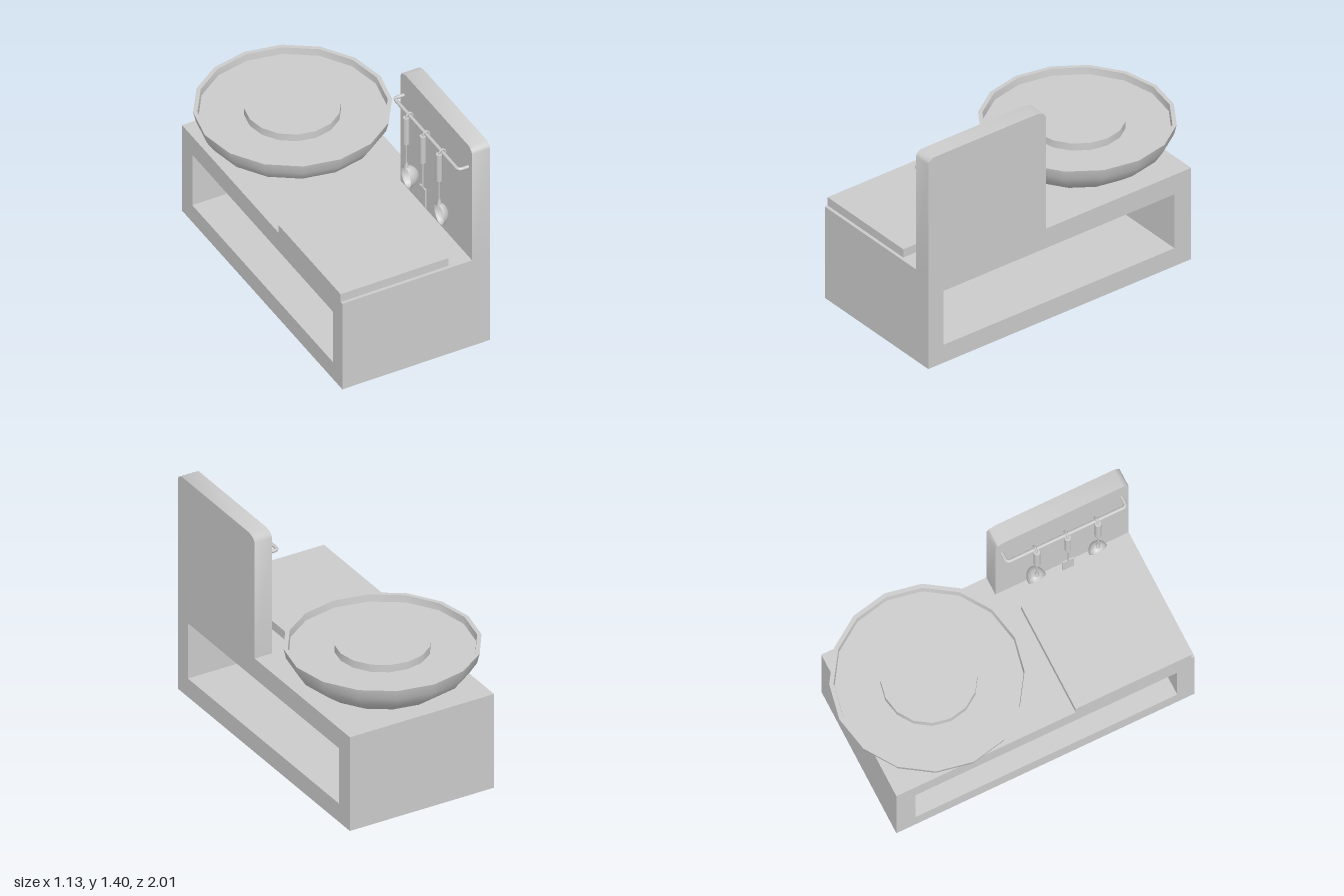
import * as THREE from 'three';
import { toCreasedNormals } from 'three/addons/utils/BufferGeometryUtils.js';

const grey = new THREE.MeshStandardMaterial({ color: 0xcccccc });
const thin = new THREE.MeshStandardMaterial({ color: 0xcccccc, side: THREE.DoubleSide });

export function createModel() {
  const model = new THREE.Group();
  model.name = 'kitchenCounter';

  function add(name, geometry, x = 0, y = 0, z = 0, parent = model, material = grey) {
    const mesh = new THREE.Mesh(geometry, material);
    mesh.name = name;
    mesh.position.set(x, y, z);
    parent.add(mesh);
    return mesh;
  }
  const outline = (pts) => pts.map(([a, b]) => new THREE.Vector2(a, b));

  // Extrude a (z, y) side profile across x, from x0 to x1
  function sideExtrude(shape, x0, x1) {
    const g = new THREE.ExtrudeGeometry(shape, { depth: x1 - x0, bevelEnabled: false });
    return g.rotateY(-Math.PI / 2).translate(x1, 0, 0);
  }

  // Counter block with an open shelf right through it
  const block = new THREE.Shape(outline([[-0.88, 0], [1, 0], [1, 0.61], [-0.88, 0.61]]));
  block.holes.push(new THREE.Path(outline([[-0.76, 0.12], [-0.76, 0.48], [0.89, 0.48], [0.89, 0.12]])));
  add('counter', sideExtrude(block, -0.47, 0.48));

  // Upright panel with softened top corners
  const panel = new THREE.Shape(outline([
    [0.16, 0.61], [1, 0.61], [1, 1.365], [0.992, 1.383], [0.965, 1.4],
    [0.22, 1.4], [0.175, 1.385], [0.16, 1.36],
  ]));
  add('backPanel', toCreasedNormals(sideExtrude(panel, 0.365, 0.48), 0.6));

  // Cutting board
  add('board', new THREE.BoxGeometry(0.695, 0.055, 0.73), -0.1225, 0.6375, 0.615);

  // Sixteen-sided basin with a recessed floor, and a raised disc in the middle
  const basin = new THREE.LatheGeometry(outline([
    [0, 0.61], [0.285, 0.61], [0.4, 0.66], [0.505, 0.74], [0.55, 0.81],
    [0.565, 0.873], [0.54, 0.873], [0.535, 0.83], [0, 0.83],
  ]), 16);
  add('basin', toCreasedNormals(basin, 0.5), 0, 0, -0.44);
  add('basinDisc', toCreasedNormals(new THREE.CylinderGeometry(0.275, 0.275, 0.047, 16), 0.5), 0, 0.8535, -0.44);

  // Rail bent back into the panel at both ends
  const railX = 0.302, railY = 1.247, r = 0.025;
  const v = (x, z) => new THREE.Vector3(x, railY, z);
  const path = new THREE.CurvePath();
  path.add(new THREE.LineCurve3(v(0.37, 0.2), v(railX + r, 0.2)));
  path.add(new THREE.QuadraticBezierCurve3(v(railX + r, 0.2), v(railX, 0.2), v(railX, 0.2 + r)));
  path.add(new THREE.LineCurve3(v(railX, 0.2 + r), v(railX, 0.955 - r)));
  path.add(new THREE.QuadraticBezierCurve3(v(railX, 0.955 - r), v(railX, 0.955), v(railX + r, 0.955)));
  path.add(new THREE.LineCurve3(v(railX + r, 0.955), v(0.37, 0.955)));
  add('rail', new THREE.TubeGeometry(path, 90, 0.011, 8));

  // Hanging utensils: hook, handle and stem, then a head of each kind
  function utensil(name, z) {
    const g = new THREE.Group();
    g.name = name;
    g.position.set(0.281, 0, z);
    model.add(g);
    const hook = new THREE.CatmullRomCurve3([
      [0, 1.22], [0.003, 1.25], [0.02, 1.265], [0.037, 1.255], [0.042, 1.238],
    ].map(([x, y]) => new THREE.Vector3(x, y, 0)));
    add('hook', new THREE.TubeGeometry(hook, 12, 0.007, 6), 0, 0, 0, g);
    add('handle', new THREE.CylinderGeometry(0.019, 0.019, 0.185, 10), 0, 1.1475, 0, g);
    add('stem', new THREE.CylinderGeometry(0.005, 0.006, 0.2, 6), 0, 0.965, 0, g);
    return g;
  }

  // Round heads open away from the panel
  for (const [name, z, depth] of [['ladle', 0.38, 0.075], ['spoon', 0.765, 0.053]]) {
    const head = new THREE.SphereGeometry(1, 14, 6, 0, Math.PI * 2, 0, Math.PI / 2);
    head.rotateZ(-Math.PI / 2).scale(depth, 0.075, 0.056);
    const g = utensil(name, z);
    add('bowl', head, 0, 0.815, 0, g, thin).rotation.z = 0.07;
    add('neck', new THREE.CylinderGeometry(0.006, 0.016, 0.05, 8), 0.002, 0.895, 0, g);
  }
  add('blade', new THREE.BoxGeometry(0.008, 0.125, 0.07), 0, 0.815, 0, utensil('spatula', 0.575));

  return model;
}
